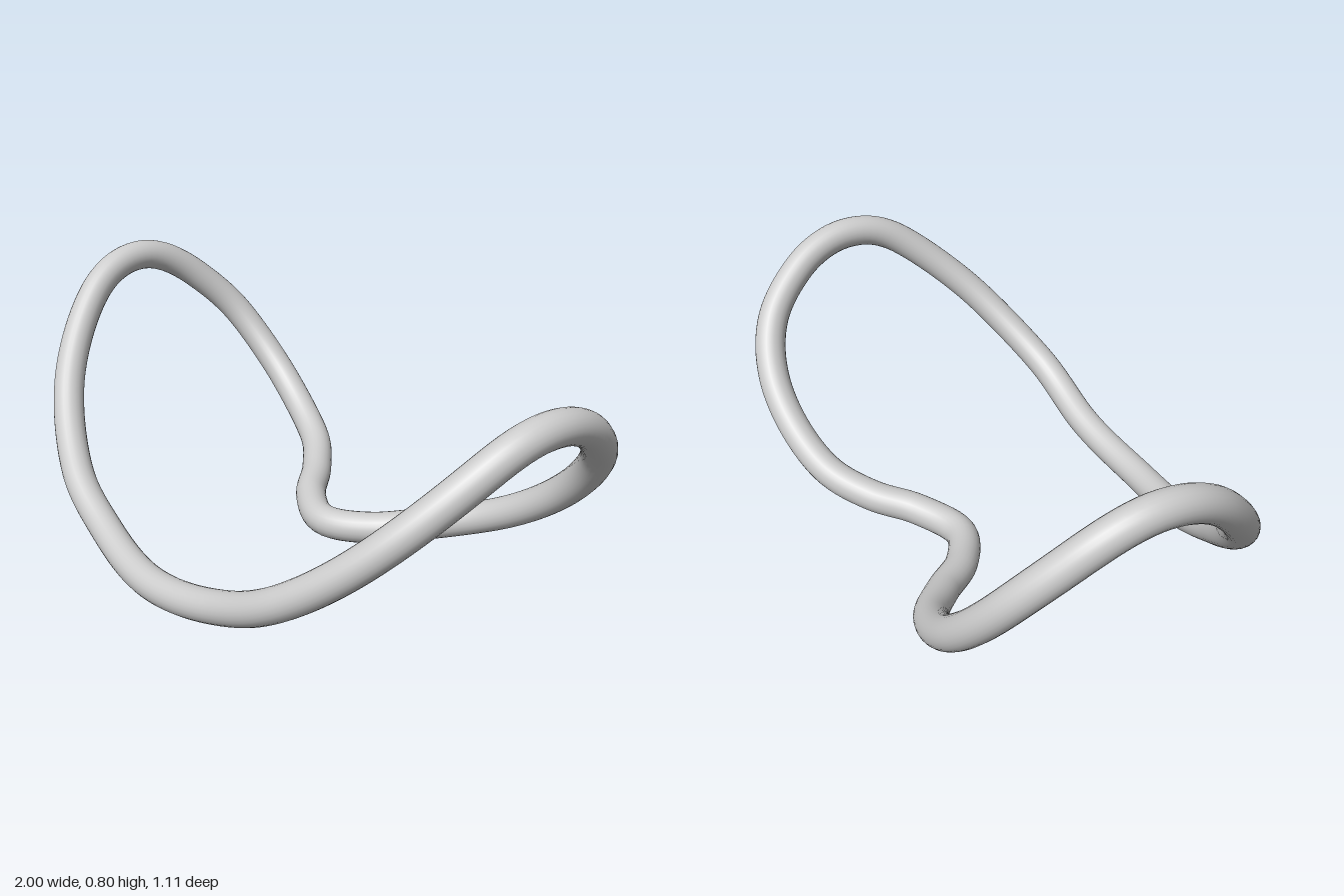
import * as THREE from 'three';

// Outline of the loop seen from above, as [x, z]
const OUTLINE = [
  [0, 0.5], [0.3, 0.475], [0.565, 0.443], [0.79, 0.3], [0.92, 0.08], [0.947, -0.11],
  [0.914, -0.31], [0.83, -0.45], [0.7, -0.5], [0.42, -0.452], [0.267, -0.35], [0.155, -0.238],
  [0, -0.167],
  [-0.155, -0.238], [-0.267, -0.355], [-0.41, -0.46], [-0.67, -0.504], [-0.83, -0.445],
  [-0.914, -0.31], [-0.95, -0.11], [-0.914, 0.115], [-0.78, 0.3], [-0.53, 0.43], [-0.3, 0.468],
];

// Closed outline wrapped onto a horizontal cylinder that runs front to back
class WrappedLoop extends THREE.Curve {
  constructor() {
    super();
    this.plan = new THREE.CatmullRomCurve3(
      OUTLINE.map(([x, z]) => new THREE.Vector3(x, 0, z)), true, 'centripetal');
  }

  getPoint(t, target = new THREE.Vector3()) {
    const bend = 1.01;
    this.plan.getPoint(t, target);
    target.y = 0.05 + bend - Math.sqrt(bend ** 2 - (target.x - 0.01) ** 2);
    return target;
  }
}

export function createModel() {
  const group = new THREE.Group();
  group.name = 'bentLoop';

  // Round rod swept along the closed path
  const rod = new THREE.Mesh(
    new THREE.TubeGeometry(new WrappedLoop(), 240, 0.05, 24, true),
    new THREE.MeshStandardMaterial({ color: 0xcccccc }));
  rod.name = 'rod';
  group.add(rod);

  return group;
}
